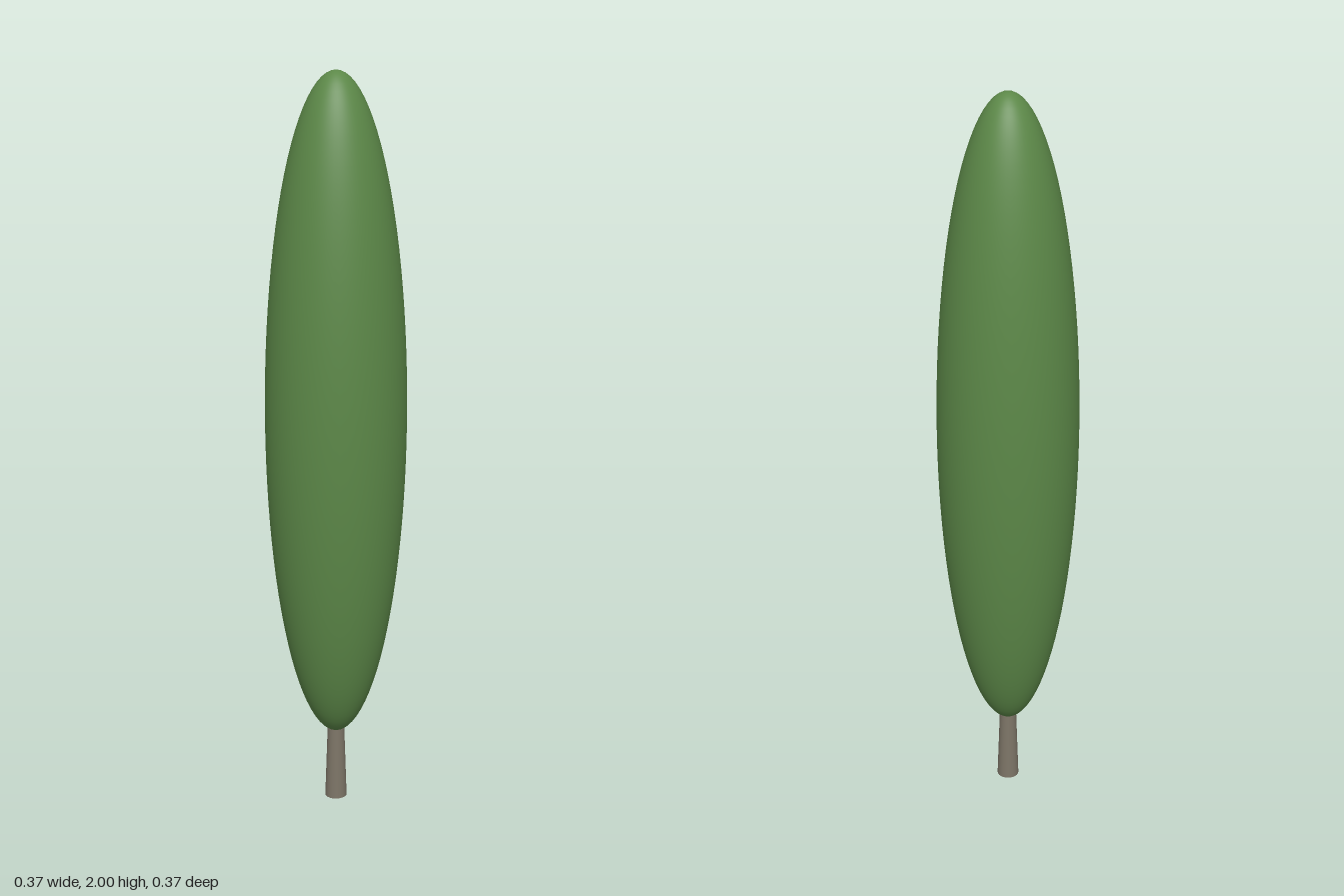
import * as THREE from 'three';

export function createModel() {
  const tree = new THREE.Group();
  tree.name = 'columnarTree';

  // Tapered trunk, running a little way into the foliage
  const trunk = new THREE.Mesh(
    new THREE.CylinderGeometry(0.022, 0.03, 0.24, 24),
    new THREE.MeshStandardMaterial({ color: 0x7d7567 })
  );
  trunk.name = 'trunk';
  trunk.position.y = 0.12;

  // Slender ellipsoidal crown
  const crownGeometry = new THREE.SphereGeometry(1, 64, 48);
  crownGeometry.scale(0.187, 0.9, 0.187);
  const crown = new THREE.Mesh(
    crownGeometry,
    new THREE.MeshStandardMaterial({ color: 0x5c8848 })
  );
  crown.name = 'crown';
  crown.position.y = 1.1;

  tree.add(trunk, crown);
  return tree;
}
